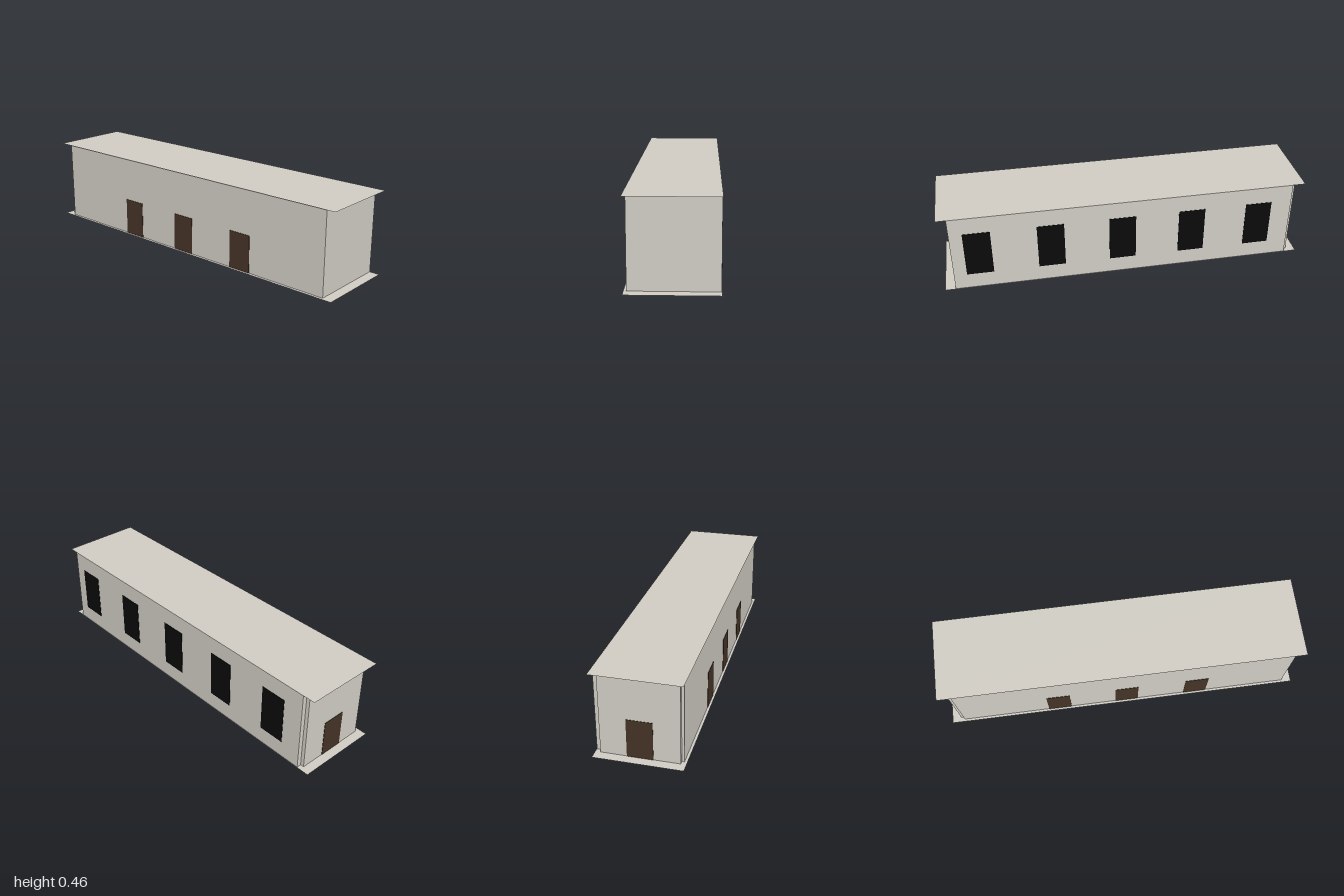
import * as THREE from 'three';

const wallMat = new THREE.MeshStandardMaterial({ color: 0xcfcbc3 });
const slabMat = new THREE.MeshStandardMaterial({ color: 0xcfcbc3, side: THREE.DoubleSide });
const doorMat = new THREE.MeshStandardMaterial({ color: 0x443325 });
const glassMat = new THREE.MeshStandardMaterial({ color: 0x0a0a0a });

const HEIGHT = 0.455;
const FRONT = 0.213, BACK = -0.225;
const LEFT = 0.945, RIGHT = -0.93, END = -0.95;

// Box given by its two opposite corners
function box(name, material, [x0, y0, z0], [x1, y1, z1]) {
  const mesh = new THREE.Mesh(new THREE.BoxGeometry(x1 - x0, y1 - y0, z1 - z0), material);
  mesh.position.set((x0 + x1) / 2, (y0 + y1) / 2, (z0 + z1) / 2);
  mesh.name = name;
  return mesh;
}

// Thin overhanging sheet used for both roof and floor
function sheet(name, y) {
  const geometry = new THREE.PlaneGeometry(2, 0.454).rotateX(-Math.PI / 2);
  const mesh = new THREE.Mesh(geometry, slabMat);
  mesh.position.y = y;
  mesh.name = name;
  return mesh;
}

export function createModel() {
  const model = new THREE.Group();
  model.name = 'longBuilding';

  // Main block and the narrower wall slab on its right end
  model.add(box('mainWalls', wallMat, [RIGHT, 0.001, BACK], [LEFT, HEIGHT - 0.001, FRONT]));
  model.add(box('endWall', wallMat, [END, 0.001, -0.2], [RIGHT, HEIGHT - 0.001, 0.2]));

  // Roof and ground sheets
  model.add(sheet('roof', HEIGHT), sheet('floor', 0));

  // Three doors along the front
  const doorWidth = 0.132, doorHeight = 0.208, proud = 0.002;
  for (const x of [-0.37, 0.02, 0.422]) {
    model.add(box('frontDoor', doorMat,
      [x - doorWidth / 2, 0.001, FRONT - 0.01], [x + doorWidth / 2, doorHeight, FRONT + proud]));
  }

  // One door in the end wall
  model.add(box('endDoor', doorMat,
    [END - proud, 0.001, -doorWidth / 2], [END + 0.01, doorHeight, doorWidth / 2]));

  // Five tall windows along the back
  for (const x of [-0.743, -0.365, 0.02, 0.411, 0.802]) {
    model.add(box('backWindow', glassMat,
      [x - 0.073, 0.092, BACK - proud], [x + 0.073, 0.356, BACK + 0.01]));
  }

  return model;
}
